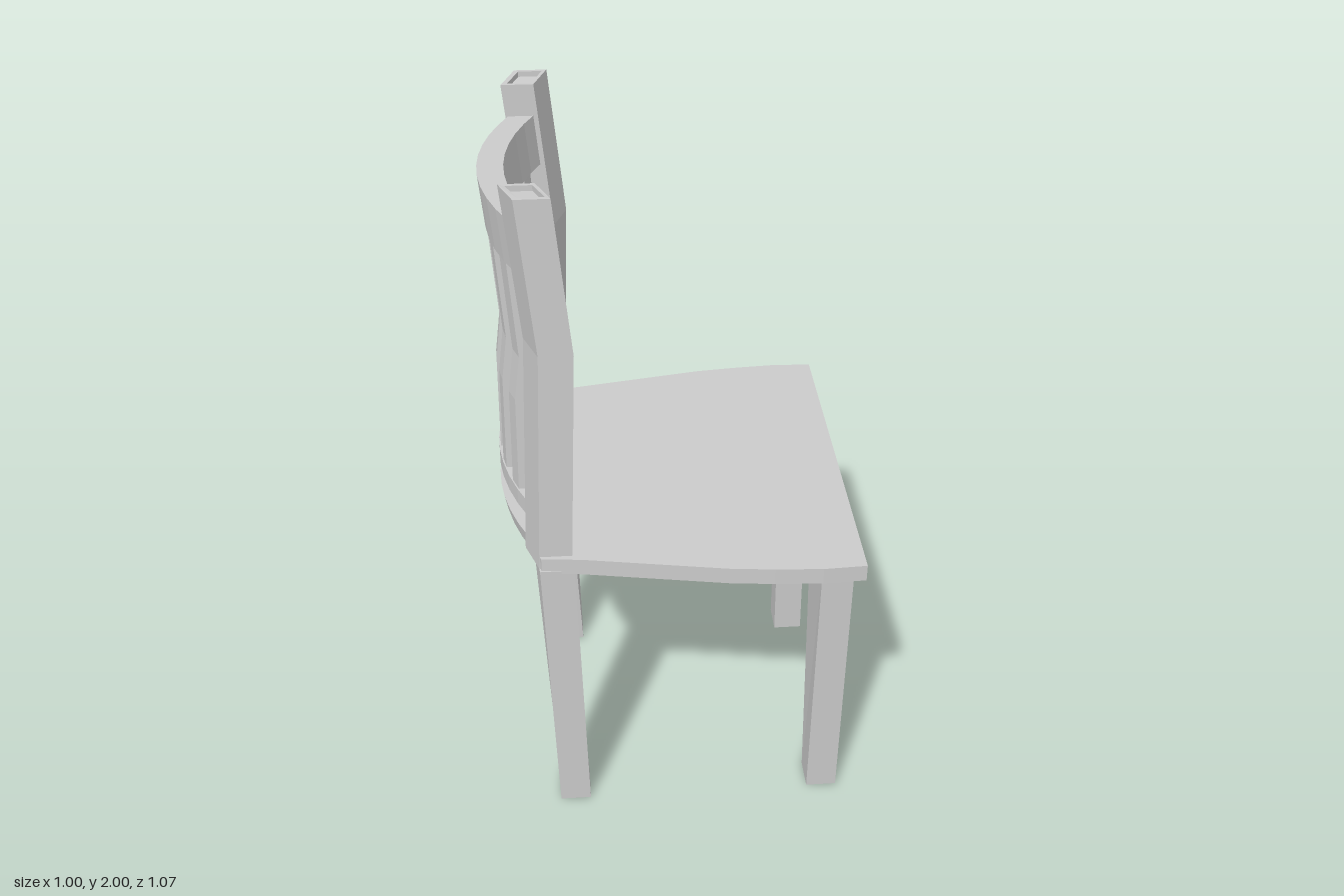
import * as THREE from 'three';

const material = new THREE.MeshStandardMaterial({ color: 0xcccccc, flatShading: true });

// Piecewise-linear lookup through [y, value] pairs
function interp(knots, y) {
  let i = 0;
  while (i < knots.length - 2 && y > knots[i + 1][0]) i++;
  const [a, b] = [knots[i], knots[i + 1]];
  return THREE.MathUtils.lerp(a[1], b[1], (y - a[0]) / (b[0] - a[0]));
}

function addMesh(group, name, geometry) {
  const mesh = new THREE.Mesh(geometry, material);
  mesh.name = name;
  group.add(mesh);
}

// Four-cornered section: outer edge x0..x1, inner edge shifted back by skew
function section(side, y, x0, x1, zIn, zOut, skew, innerDrop = 0) {
  const ring = [
    [x0 + skew, y - innerDrop, zIn * side],
    [x0, y, zOut * side],
    [x1, y, zOut * side],
    [x1 + skew, y - innerDrop, zIn * side],
  ];
  return side > 0 ? ring : ring.reverse();
}

// Closed solid through a list of four-cornered rings
function loft(rings) {
  const positions = [];
  const quad = (a, b, c, d) => positions.push(...a, ...b, ...c, ...a, ...c, ...d);
  for (let r = 0; r < rings.length - 1; r++) {
    for (let i = 0; i < 4; i++) {
      const j = (i + 1) % 4;
      quad(rings[r][i], rings[r][j], rings[r + 1][j], rings[r + 1][i]);
    }
  }
  quad(...rings[0].slice().reverse());
  quad(...rings[rings.length - 1]);
  const geometry = new THREE.BufferGeometry();
  geometry.setAttribute('position', new THREE.Float32BufferAttribute(positions, 3));
  geometry.computeVertexNormals();
  return geometry;
}

// Bends of the posts and of the slats, as x offset over height
const postLean = [[0.94, -0.025], [1.57, 0], [2, -0.04]];
const slatLean = [[1.01, -0.023], [1.35, -0.017], [1.48, 0], [1.76, -0.018], [1.905, -0.031]];
const bow = (z) => 0.75 * z * z;

// Board following the bowed, leaning back
function backBoard(z0, z1, heights, segments, back, front) {
  const rows = heights.length - 1;
  const geometry = new THREE.BoxGeometry(1, 1, 1, 1, rows, segments);
  const p = geometry.attributes.position;
  for (let i = 0; i < p.count; i++) {
    const y = heights[Math.round((p.getY(i) + 0.5) * rows)];
    const z = THREE.MathUtils.lerp(z0, z1, p.getZ(i) + 0.5);
    const x = (p.getX(i) < 0 ? back : front) + bow(z) + interp(slatLean, y);
    p.setXYZ(i, x, y, z);
  }
  geometry.computeVertexNormals();
  return geometry;
}

// Seat plate: wide front, narrowing sides, bowed rear edge
function seatGeometry() {
  const sidePoints = [[0.5, 0.53], [0.38, 0.535], [0.25, 0.527], [0.13, 0.515], [-0.27, 0.445], [-0.38, 0.435]];
  const rear = [];
  for (let i = 0; i <= 10; i++) {
    const z = 0.33 - 0.066 * i;
    rear.push([-0.495 + bow(z), z]);
  }
  const mirrored = sidePoints.map(([x, z]) => [x, -z]).reverse();
  const outline = [...sidePoints, ...rear, ...mirrored].map(([x, z]) => new THREE.Vector2(x, z));
  const geometry = new THREE.ExtrudeGeometry(new THREE.Shape(outline), { depth: 0.05, bevelEnabled: false });
  geometry.rotateX(Math.PI / 2).translate(0, 0.94, 0);
  // Rear edge slopes in slightly underneath
  const p = geometry.attributes.position;
  for (let i = 0; i < p.count; i++) {
    if (p.getX(i) < -0.4 && p.getY(i) < 0.91) p.setX(i, p.getX(i) + 0.01);
  }
  geometry.computeVertexNormals();
  return geometry;
}

export function createModel() {
  const chair = new THREE.Group();
  chair.name = 'chair';
  addMesh(chair, 'seat', seatGeometry());

  for (const side of [1, -1]) {
    const label = side > 0 ? 'Left' : 'Right';

    // Tapered legs
    addMesh(chair, `frontLeg${label}`, loft([
      section(side, 0, 0.395, 0.485, 0.325, 0.42, 0),
      section(side, 0.9, 0.395, 0.485, 0.295, 0.445, -0.013),
    ]));
    addMesh(chair, `backLeg${label}`, loft([
      section(side, 0, -0.36, -0.27, 0.325, 0.42, 0),
      section(side, 0.9, -0.385, -0.29, 0.293, 0.44, -0.018),
    ]));

    // Bent post with a shallow recess in its top
    const rings = [0.9, 1.57, 2].map((y) => {
      const d = interp(postLean, y);
      return section(side, y, -0.36 + d, -0.27 + d, 0.325, 0.425, -0.037, y === 2 ? 0.004 : 0);
    });
    rings.push(section(side, 2, -0.389, -0.323, 0.336, 0.414, -0.03, 0.004));
    rings.push(section(side, 1.985, -0.389, -0.323, 0.336, 0.414, -0.03, 0.004));
    addMesh(chair, `backPost${label}`, loft(rings));
  }

  // Bowed rails between the posts
  addMesh(chair, 'topRail', backBoard(-0.335, 0.335, [1.76, 1.905], 10, -0.47, -0.4));
  addMesh(chair, 'bottomRail', backBoard(-0.335, 0.335, [1.01, 1.06], 10, -0.47, -0.4));

  // Upright slats, the middle one wider
  const slats = [[0, 0.1], [0.137, 0.046], [-0.137, 0.046], [0.245, 0.046], [-0.245, 0.046]];
  slats.forEach(([z, width], i) => {
    const segments = i === 0 ? 2 : 1;
    addMesh(chair, `slat${i + 1}`,
      backBoard(z - width / 2, z + width / 2, [1.05, 1.35, 1.48, 1.77], segments, -0.466, -0.403));
  });
  return chair;
}
